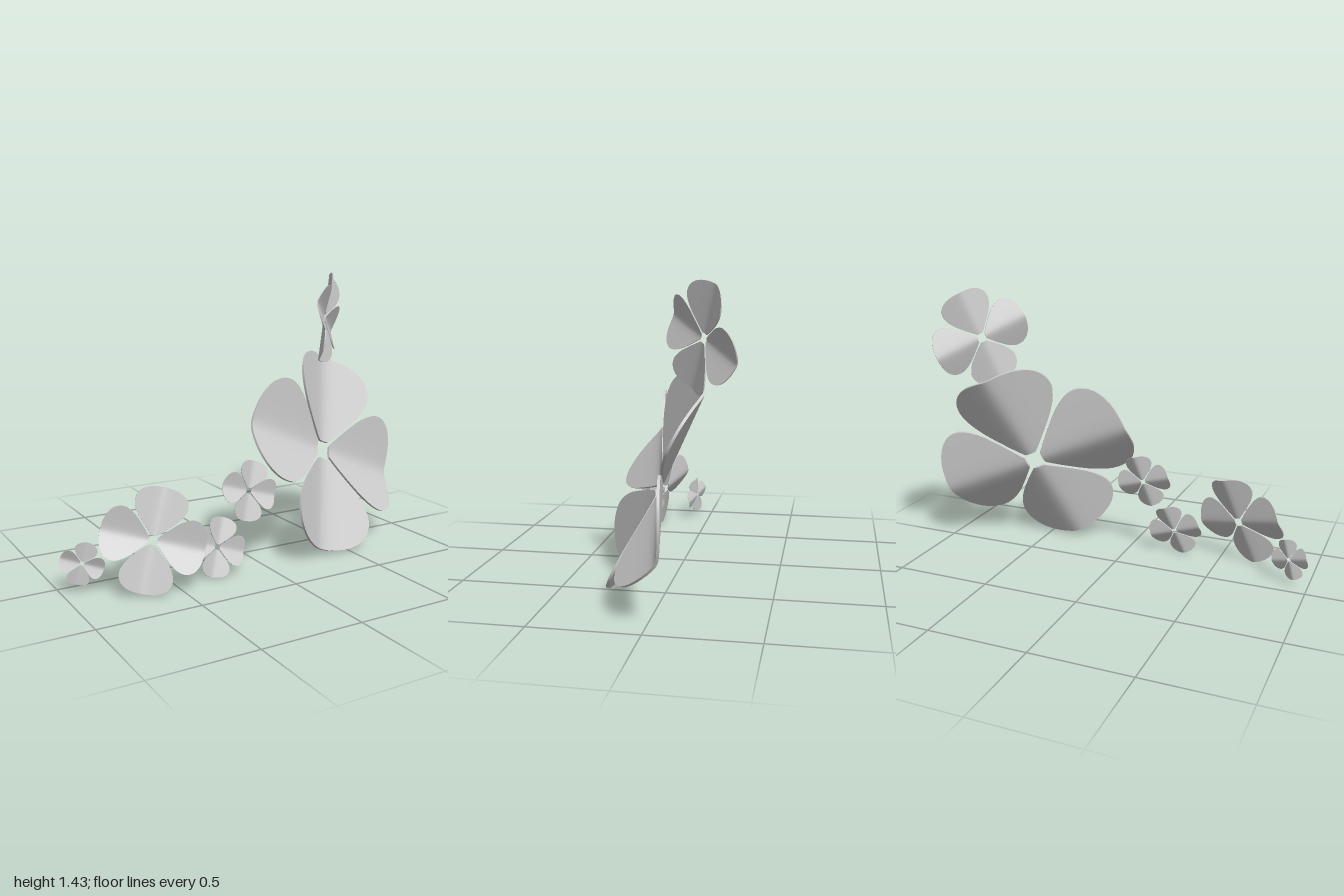
import * as THREE from 'three';

// Petal outline: half width (x) against distance from the flower centre (y), tip at 1
const outline = new THREE.SplineCurve([
  [0.06, 0.09], [0.22, 0.24], [0.39, 0.42], [0.485, 0.58], [0.505, 0.7],
  [0.475, 0.81], [0.4, 0.9], [0.27, 0.97], [0.12, 1.0], [0.02, 1.005],
].map(([w, u]) => new THREE.Vector2(w, u)));

// One thin petal, softly folded into a valley along its midline
function petalGeometry() {
  const geometry = new THREE.BoxGeometry(2, 1, 1, 20, 24, 1);
  const p = geometry.attributes.position;
  const thickness = 0.024, fold = 0.4, soft = 0.07;
  for (let i = 0; i < p.count; i++) {
    const { x: w, y: u } = outline.getPoint(p.getY(i) + 0.5);
    const v = p.getX(i) * w;
    const lift = fold * (Math.sqrt(v * v + soft * soft) - soft);
    p.setXYZ(i, v, u, lift + p.getZ(i) * thickness);
  }
  geometry.computeVertexNormals();
  return geometry;
}

// Flowers: centre, radius, facing direction, and direction of the upper petal
const flowers = [
  { name: 'largeFlower', at: [0.48, 0.505, 0.025], r: 0.535, facing: [0.29, 0.34, 0.9], up: [0.32, 0.92, -0.4] },
  { name: 'topFlower', at: [0.64, 1.195, -0.2], r: 0.245, facing: [0.69, -0.04, 0.72], up: [0.15, 0.45, -0.12] },
  { name: 'mediumFlower', at: [-0.605, 0.243, 0.215], r: 0.247, facing: [-0.29, 0.28, 0.91], up: [0.16, 0.45, -0.08] },
  { name: 'upperSmallFlower', at: [-0.08, 0.4, 0.195], r: 0.148, facing: [0, 0.2, 0.98], up: [0.08, 0.26, -0.05] },
  { name: 'lowerSmallFlower', at: [-0.26, 0.145, 0.2], r: 0.146, facing: [0, 0.26, 0.96], up: [0.1, 0.27, -0.07] },
  { name: 'tinyFlower', at: [-0.9, 0.14, 0.075], r: 0.103, facing: [-0.36, 0, 0.93], up: [0.06, 0.2, 0.02] },
];

export function createModel() {
  const model = new THREE.Group();
  model.name = 'flowerSpray';
  const geometry = petalGeometry();
  const material = new THREE.MeshStandardMaterial({ color: 0xcccccc, side: THREE.DoubleSide });

  for (const { name, at, r, facing, up } of flowers) {
    const flower = new THREE.Group();
    flower.name = name;
    const n = new THREE.Vector3(...facing).normalize();
    const side = new THREE.Vector3(...up).cross(n).normalize();
    const top = n.clone().cross(side);
    flower.quaternion.setFromRotationMatrix(new THREE.Matrix4().makeBasis(side, top, n));
    flower.position.set(...at);
    flower.scale.setScalar(r);

    // Four petals around an open centre
    for (let i = 0; i < 4; i++) {
      const petal = new THREE.Mesh(geometry, material);
      petal.name = 'petal';
      petal.rotation.z = i * Math.PI / 2;
      flower.add(petal);
    }
    model.add(flower);
  }
  return model;
}
